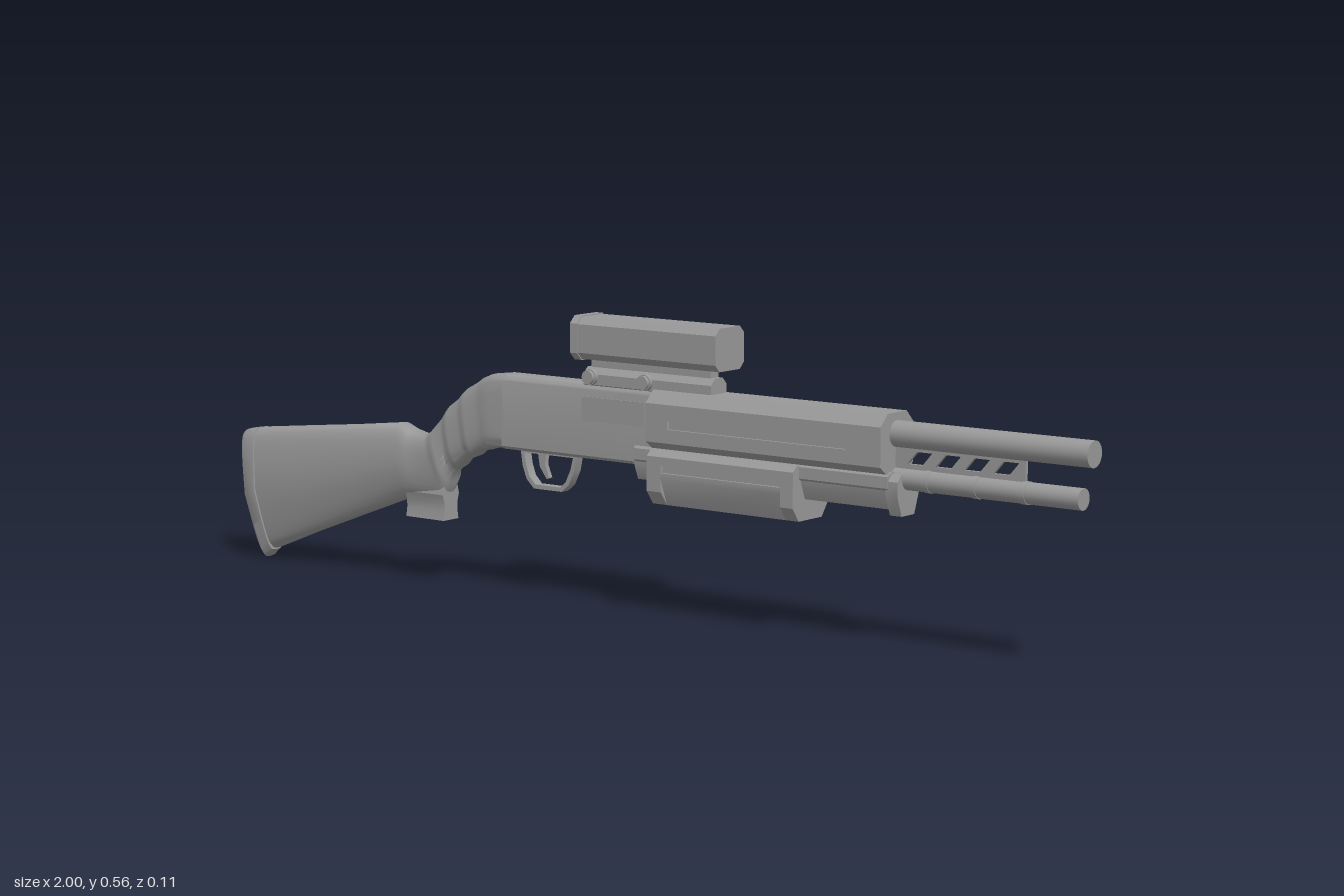
import * as THREE from 'three';
import { toCreasedNormals } from 'three/addons/utils/BufferGeometryUtils.js';

const material = new THREE.MeshStandardMaterial({ color: 0x999999, side: THREE.DoubleSide });

export function createModel() {
  const model = new THREE.Group();
  const add = (name, geometry) => {
    const mesh = new THREE.Mesh(geometry, material);
    mesh.name = name;
    model.add(mesh);
    return mesh;
  };
  // Mirrored cross-section, half profile [z, y] from bottom to top, run along x
  const prism = (name, half, x0, x1) => {
    const pts = [...half, ...half.map(([z, y]) => [-z, y]).reverse()];
    const shape = new THREE.Shape(pts.map(p => new THREE.Vector2(...p)));
    const g = new THREE.ExtrudeGeometry(shape, { depth: x1 - x0, bevelEnabled: false });
    add(name, toCreasedNormals(g.rotateY(Math.PI / 2).translate(x0, 0, 0), 0.5));
  };
  // Chamfered block profile: half width, bottom, top, bottom and top chamfers
  const block = (w, y0, y1, cb, ct, hb = cb, ht = ct) =>
    [[w - cb, y0], [w, y0 + hb], [w, y1 - ht], [w - ct, y1]];
  // Same profile with a groove in each side
  const grooved = (p, y0, y1, depth) => {
    const w = p[1][0];
    return [p[0], p[1], [w, y0], [w - depth, y0], [w - depth, y1], [w, y1], p[2], p[3]];
  };
  // Flat outline with holes, centred on z = 0
  const plate = (name, outline, holes, thickness) => {
    const toPts = a => a.map(p => new THREE.Vector2(...p));
    const shape = new THREE.Shape(toPts(outline));
    shape.holes = holes.map(h => new THREE.Path(toPts(h)));
    const g = new THREE.ExtrudeGeometry(shape, { depth: thickness, bevelEnabled: false });
    add(name, toCreasedNormals(g.translate(0, 0, -thickness / 2), 0.7));
  };
  const tube = (name, y, r, x0, x1) => {
    const g = new THREE.CylinderGeometry(r, r, x1 - x0, 24);
    add(name, g.rotateZ(-Math.PI / 2).translate((x0 + x1) / 2, y, 0));
  };
  // Loft through sections [topX, topY, bottomX, bottomY, halfWidth, exponent, taper]
  const loft = (name, sections, crease) => {
    const n = 32, pos = [], idx = [];
    const pw = (v, e) => Math.sign(v) * Math.abs(v) ** e;
    for (const [xt, yt, xb, yb, w, e, k] of sections) {
      for (let j = 0; j < n; j++) {
        const a = j / n * Math.PI * 2, v = pw(Math.sin(a), e), t = (v + 1) / 2;
        const taper = 1 - k * Math.abs(v) * (v > 0 ? 0.6 : 1);
        pos.push(xb + (xt - xb) * t, yb + (yt - yb) * t, w * pw(Math.cos(a), e) * taper);
      }
    }
    const last = sections.length - 1;
    for (let i = 0; i < last; i++) for (let j = 0; j < n; j++) {
      const a = i * n + j, b = i * n + (j + 1) % n;
      idx.push(a, a + n, b, b, a + n, b + n);
    }
    for (const i of [0, last]) {
      const [xt, yt, xb, yb] = sections[i], c = pos.length / 3;
      pos.push((xt + xb) / 2, (yt + yb) / 2, 0);
      for (let j = 0; j < n; j++) {
        const a = i * n + j, b = i * n + (j + 1) % n;
        idx.push(c, i ? b : a, i ? a : b);
      }
    }
    const g = new THREE.BufferGeometry();
    g.setAttribute('position', new THREE.Float32BufferAttribute(pos, 3));
    g.setIndex(idx);
    add(name, toCreasedNormals(g, crease));
  };

  // Butt pad, seam and shoulder stock flowing into the ribbed neck
  loft('buttPad', [
    [-1, .257, -.955, .006, .042, .45, .48], [-.992, .262, -.948, 0, .046, .45, .48],
    [-.964, .267, -.93, .016, .046, .45, .48]], 0.6);
  loft('stockSeam', [
    [-.966, .262, -.932, .024, .042, .45, .48], [-.95, .262, -.915, .03, .042, .45, .48]], 0.6);
  loft('stock', [
    [-.958, .267, -.924, .02, .046, .45, .48], [-.84, .28, -.82, .062, .043, .5, .45],
    [-.7, .295, -.68, .115, .04, .6, .35], [-.575, .31, -.56, .16, .037, .7, .2],
    [-.55, .3, -.53, .163, .035, .75, .1], [-.512, .292, -.46, .172, .028, .8, 0],
    [-.497, .3, -.453, .186, .032, .8, 0], [-.484, .312, -.446, .203, .034, .8, 0],
    [-.468, .33, -.442, .219, .026, .8, 0], [-.455, .346, -.43, .231, .031, .8, 0],
    [-.444, .357, -.42, .237, .034, .75, 0], [-.425, .371, -.404, .252, .026, .75, 0],
    [-.41, .385, -.392, .257, .031, .7, 0], [-.398, .394, -.38, .262, .033, .65, 0],
    [-.376, .406, -.362, .275, .026, .6, 0], [-.358, .417, -.348, .276, .03, .55, 0],
    [-.335, .426, -.33, .282, .03, .45, 0], [-.295, .43, -.295, .286, .028, .35, 0]], 0.9);

  // Stub under the neck, flared at its top
  prism('gripStub', [[.022, .127], [.019, .145], [.019, .16], [.024, .178], [.02, .195]], -.553, -.455);

  // Receiver with a rounded top and an ejection port on one side
  const roundedTop = [0, 1, 2, 3, 4, 5, 6].map(i => {
    const a = i / 6 * Math.PI / 2;
    return [.01 + .018 * Math.cos(a), .412 + .018 * Math.sin(a)];
  });
  prism('receiver', [[.022, .285], [.028, .291], ...roundedTop], -.3, .09);
  add('portCover', new THREE.BoxGeometry(.15, .046, .003)).position.set(-.025, .381, .0285);

  // Trigger and its guard
  plate('triggerGuard',
    [[-.268, .29], [-.263, .255], [-.253, .229], [-.235, .212], [-.166, .212], [-.149, .226], [-.135, .255], [-.128, .29]],
    [[[-.258, .28], [-.254, .257], [-.246, .235], [-.231, .22], [-.17, .22], [-.156, .232], [-.144, .257], [-.138, .28]]], .02);
  plate('trigger',
    [[-.23, .29], [-.224, .255], [-.207, .232], [-.201, .235], [-.211, .26], [-.208, .29]], [], .01);

  // Barrel shroud with a long groove on each side
  const shroud = block(.052, .32, .43, .022, .022, .016, .022);
  prism('shroudRear', shroud, .07, .12);
  prism('shroudMiddle', grooved(shroud, .362, .378, .006), .12, .52);
  prism('shroudFront', shroud, .52, .595);

  // Housing below the shroud
  prism('lowerHousing', block(.029, .257, .325, .012, .004, .03, .004), .025, .6);
  prism('housingFlange', block(.034, .247, .322, .014, .012, .038, .012), .595, .62);
  prism('housingRail', block(.036, .293, .322, .004, .004), .03, .6);

  // Sliding fore grip: full ends, grooved middle with deeper lower chamfers
  const gripEnd = block(.055, .218, .32, .019, .012, .026, .01);
  const gripMiddle = block(.055, .218, .32, .019, .012, .05, .01);
  prism('foreGripRear', gripEnd, .075, .108);
  prism('foreGripMiddle', grooved(gripMiddle, .28, .295, .006), .108, .38);
  prism('foreGripFront', gripEnd, .38, .408);

  // Barrel, magazine tube and its bands
  tube('barrel', .392, .024, .5, 1);
  tube('magazineTube', .312, .0195, .5, .98);
  for (const x of [.66, .76, .86]) tube('tubeBand', .312, .0207, x, x + .012);

  // Bridge between barrel and tube, cut by slanted openings
  const slots = [.62, .68, .74, .8].map(x =>
    [[x, .34], [x + .032, .34], [x + .052, .363], [x + .02, .363]]);
  plate('bridge', [[.59, .325], [.865, .325], [.865, .375], [.59, .375]], slots, .007);

  // Sight mount with clamp screws on both sides
  prism('mountRail', block(.024, .425, .459, .002, .012), -.1, .2);
  prism('mountNeck', [[.012, .455], [.012, .48]], -.09, .19);
  for (const x of [-.08, .05]) for (const s of [1, -1]) {
    const screw = new THREE.Group();
    screw.name = 'clampScrew';
    for (const [r, len, z] of [[.015, .009, .0275], [.013, .008, .035]]) {
      const part = new THREE.Mesh(new THREE.CylinderGeometry(r, r, len, 16).rotateX(Math.PI / 2), material);
      part.name = 'screwDisc';
      part.position.z = s * z;
      screw.add(part);
    }
    screw.position.set(x, .442, 0);
    model.add(screw);
  }

  // Sight body with a raised rear lip
  prism('sightBody', block(.044, .475, .555, .013, .013), -.1, .225);
  prism('sightLip', block(.046, .473, .557, .014, .014), -.115, -.098);
  return model;
}
